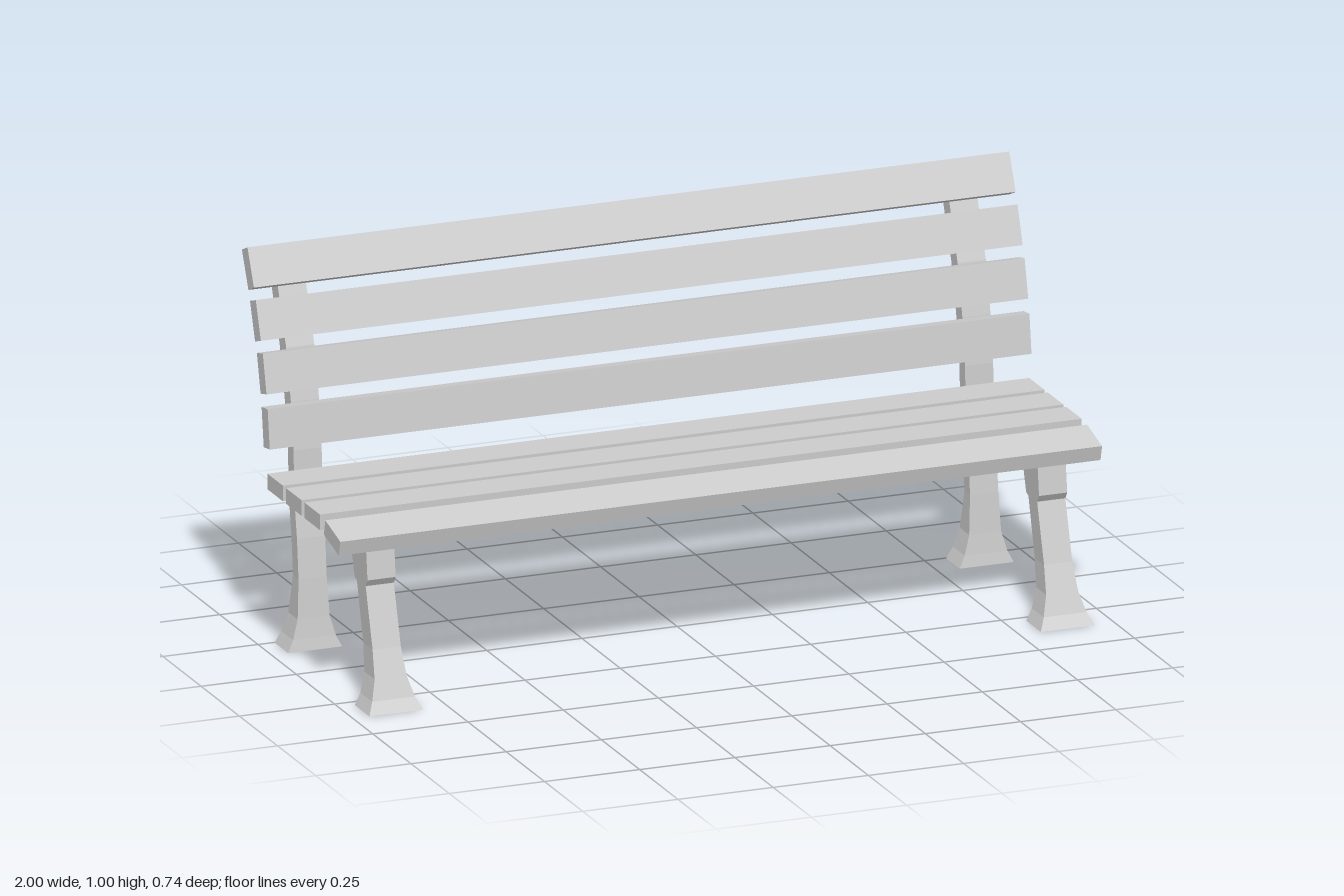
import * as THREE from 'three';

const material = new THREE.MeshStandardMaterial({ color: 0xcccccc, flatShading: true });

// Loft through rectangular sections: [frontZ, frontY, backZ, backY, halfWidth]
function loft(name, sections) {
  const positions = [];
  const rings = sections.map(([zf, yf, zb, yb, w]) => [
    [-w, yf, zf], [w, yf, zf], [w, yb, zb], [-w, yb, zb],
  ]);
  const quad = (a, b, c, d) => positions.push(...a, ...b, ...c, ...a, ...c, ...d);
  for (let s = 0; s < rings.length - 1; s++) {
    for (let i = 0; i < 4; i++) {
      const j = (i + 1) % 4;
      quad(rings[s][i], rings[s][j], rings[s + 1][j], rings[s + 1][i]);
    }
  }
  quad(...[...rings[0]].reverse());
  quad(...rings[rings.length - 1]);
  const geometry = new THREE.BufferGeometry();
  geometry.setAttribute('position', new THREE.Float32BufferAttribute(positions, 3));
  geometry.computeVertexNormals();
  const mesh = new THREE.Mesh(geometry, material);
  mesh.name = name;
  return mesh;
}

// Full-length plank with a rectangular end
function slat(name, y, z, height, depth, tiltDegrees) {
  const mesh = new THREE.Mesh(new THREE.BoxGeometry(2, height, depth), material);
  mesh.name = name;
  mesh.position.set(0, y, z);
  mesh.rotation.x = THREE.MathUtils.degToRad(tiltDegrees);
  return mesh;
}

// One end frame: front leg sweeping into the seat rail, and a curved back post
function endFrame(name, x) {
  const frame = new THREE.Group();
  frame.name = name;
  frame.position.x = x;
  const w = 0.037;
  frame.add(
    loft('frontLegAndSeatRail', [
      [0.371, 0, 0.275, 0, 0.071],
      [0.352, 0.03, 0.275, 0.03, 0.056],
      [0.333, 0.08, 0.266, 0.08, 0.042],
      [0.307, 0.148, 0.246, 0.148, w],
      [0.262, 0.296, 0.205, 0.294, w],
      // collar under the seat
      [0.262, 0.297, 0.19, 0.3, w],
      [0.274, 0.315, 0.185, 0.315, w],
      [0.265, 0.387, 0.164, 0.381, w],
      // rail, running back to the post
      [0.165, 0.409, 0.155, 0.381, w],
      [0.08, 0.412, 0.08, 0.383, w],
      [-0.1, 0.412, -0.1, 0.381, w],
      [-0.215, 0.393, -0.215, 0.361, w],
    ]),
    loft('backPost', [
      [-0.16, 0, -0.249, 0, 0.071],
      [-0.165, 0.03, -0.242, 0.03, 0.056],
      [-0.17, 0.08, -0.232, 0.08, 0.042],
      [-0.177, 0.18, -0.213, 0.18, w],
      [-0.187, 0.28, -0.223, 0.28, w],
      [-0.203, 0.37, -0.24, 0.37, w],
      [-0.21, 0.5, -0.247, 0.51, w],
      [-0.227, 0.62, -0.268, 0.62, w],
      [-0.258, 0.75, -0.3, 0.745, w],
      [-0.312, 0.89, -0.365, 0.91, w],
      [-0.352, 0.976, -0.37, 0.966, w],
    ]),
  );
  return frame;
}

export function createModel() {
  const bench = new THREE.Group();
  bench.name = 'bench';
  bench.add(endFrame('leftFrame', 0.877), endFrame('rightFrame', -0.886));

  // Seat: tilted front edge plank and three level ones
  bench.add(slat('frontSeatSlat', 0.421, 0.234, 0.04, 0.101, 14.5));
  [0.104, -0.016, -0.138].forEach((z, i) =>
    bench.add(slat(`seatSlat${i + 1}`, 0.437, z, 0.04, 0.101, 0)));

  // Backrest planks follow the curve of the posts
  [[0.57, -0.2, 8], [0.702, -0.226, 14], [0.825, -0.267, 19.5], [0.944, -0.316, 25]]
    .forEach(([y, z, lean], i) =>
      bench.add(slat(`backSlat${i + 1}`, y, z, 0.1, 0.04, -lean)));
  return bench;
}
